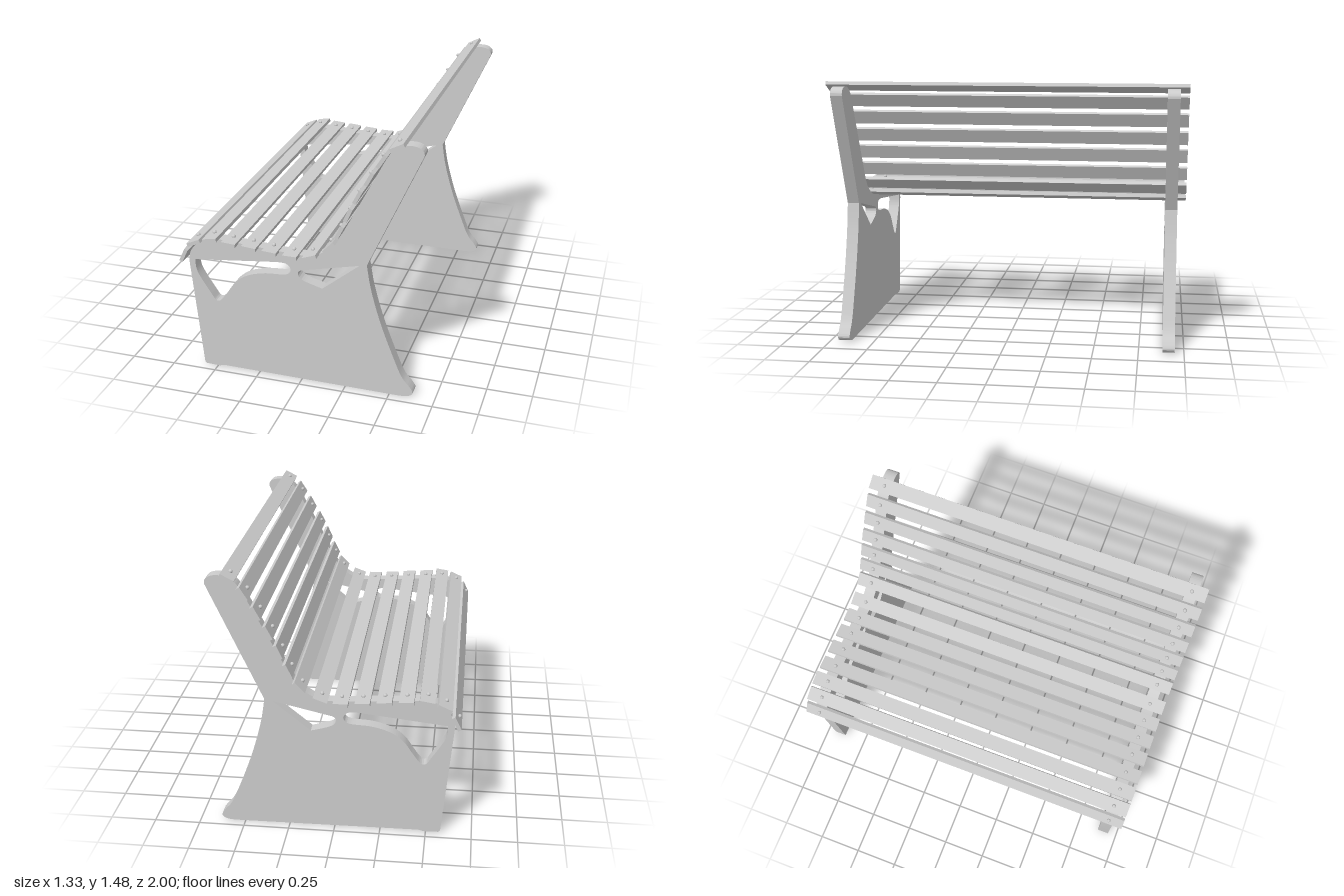
import * as THREE from 'three';
import { toCreasedNormals } from 'three/addons/utils/BufferGeometryUtils.js';

const material = new THREE.MeshStandardMaterial({ color: 0xcccccc });
const points = (list) => list.map(([x, y]) => new THREE.Vector2(x, y));

// Adds each run as a smooth curve; corners stay sharp where runs meet.
function trace(path, start, runs) {
  path.moveTo(...start);
  for (const run of runs) {
    if (run.length === 1) path.lineTo(...run[0]);
    else path.splineThru(points(run));
  }
  return path;
}

function sidePanelGeometry(depth) {
  const outline = trace(new THREE.Shape(), [-0.58, 0.015], [
    [[-0.57, 0.005]], [[-0.49, 0.003]], [[-0.46, 0.011]], [[0.55, 0.003]],
    // rear foot and curved rear edge
    [[0.59, 0.006], [0.62, 0.017], [0.63, 0.037], [0.61, 0.07], [0.57, 0.12], [0.53, 0.21],
      [0.45, 0.425], [0.395, 0.62], [0.37, 0.765]],
    // backrest
    [[0.66, 1.405]],
    [[0.657, 1.425], [0.635, 1.445], [0.595, 1.453], [0.545, 1.445], [0.5, 1.415], [0.465, 1.365]],
    [[0.285, 1.02]],
    // seat, from the back to the rounded front
    [[0.245, 0.945], [0.21, 0.88], [0.165, 0.83], [0.1, 0.79], [0.03, 0.773], [-0.1, 0.777],
      [-0.3, 0.79], [-0.48, 0.8], [-0.55, 0.785], [-0.605, 0.74], [-0.633, 0.69], [-0.638, 0.64]],
  ]);
  outline.closePath();

  const frontHole = trace(new THREE.Path(), [-0.603, 0.66], [
    [[-0.13, 0.712]],
    [[-0.08, 0.71], [-0.054, 0.69], [-0.055, 0.662], [-0.09, 0.643], [-0.2, 0.634], [-0.3, 0.605],
      [-0.37, 0.555], [-0.42, 0.485], [-0.46, 0.432], [-0.49, 0.424], [-0.52, 0.465],
      [-0.58, 0.56], [-0.6, 0.61], [-0.603, 0.66]],
  ]);
  const rearHole = trace(new THREE.Path(), [0.33, 0.757], [
    [[0.005, 0.682]],
    [[-0.01, 0.667], [-0.005, 0.642], [0.03, 0.619], [0.125, 0.591]],
    [[0.33, 0.757]],
  ]);
  outline.holes.push(frontHole, rearHole);

  const geometry = new THREE.ExtrudeGeometry(outline, { depth, bevelEnabled: false, curveSegments: 40 });
  geometry.translate(0, 0, -depth / 2);
  return toCreasedNormals(geometry, 0.5);
}

// Centre x, centre y and tilt in degrees of every slat, front edge to top.
const SLATS = [
  [-0.648, 0.7, 65], [-0.585, 0.782, 24], [-0.492, 0.81, 9], [-0.385, 0.8, -4],
  [-0.27, 0.792, -5], [-0.155, 0.781, -4], [-0.04, 0.773, 0], [0.07, 0.787, 20],
  [0.178, 0.86, 46], [0.235, 0.955, 64], [0.282, 1.06, 66], [0.332, 1.165, 63],
  [0.392, 1.27, 62], [0.455, 1.372, 58], [0.533, 1.452, 27],
];

export function createModel() {
  const bench = new THREE.Group();
  bench.name = 'bench';
  const panelZ = 0.915;
  const slatThickness = 0.02;

  // two identical end panels
  const panelGeometry = sidePanelGeometry(0.067);
  for (const side of [-1, 1]) {
    const panel = new THREE.Mesh(panelGeometry, material);
    panel.name = side > 0 ? 'frontEndPanel' : 'rearEndPanel';
    panel.position.z = side * panelZ;
    bench.add(panel);
  }

  // slats, each held by a domed bolt over either panel
  const slatGeometry = new THREE.BoxGeometry(0.08, slatThickness, 2);
  const boltGeometry = new THREE.SphereGeometry(0.011, 12, 8);
  SLATS.forEach(([x, y, tilt], i) => {
    const slat = new THREE.Group();
    slat.name = i < 8 ? 'seatSlat' : 'backSlat';
    slat.position.set(x, y, 0);
    slat.rotation.z = THREE.MathUtils.degToRad(tilt);
    const board = new THREE.Mesh(slatGeometry, material);
    board.name = 'board';
    slat.add(board);
    for (const side of [-1, 1]) {
      const bolt = new THREE.Mesh(boltGeometry, material);
      bolt.name = 'bolt';
      bolt.position.set(0, slatThickness / 2 + 0.004, side * panelZ);
      slat.add(bolt);
    }
    bench.add(slat);
  });

  return bench;
}
